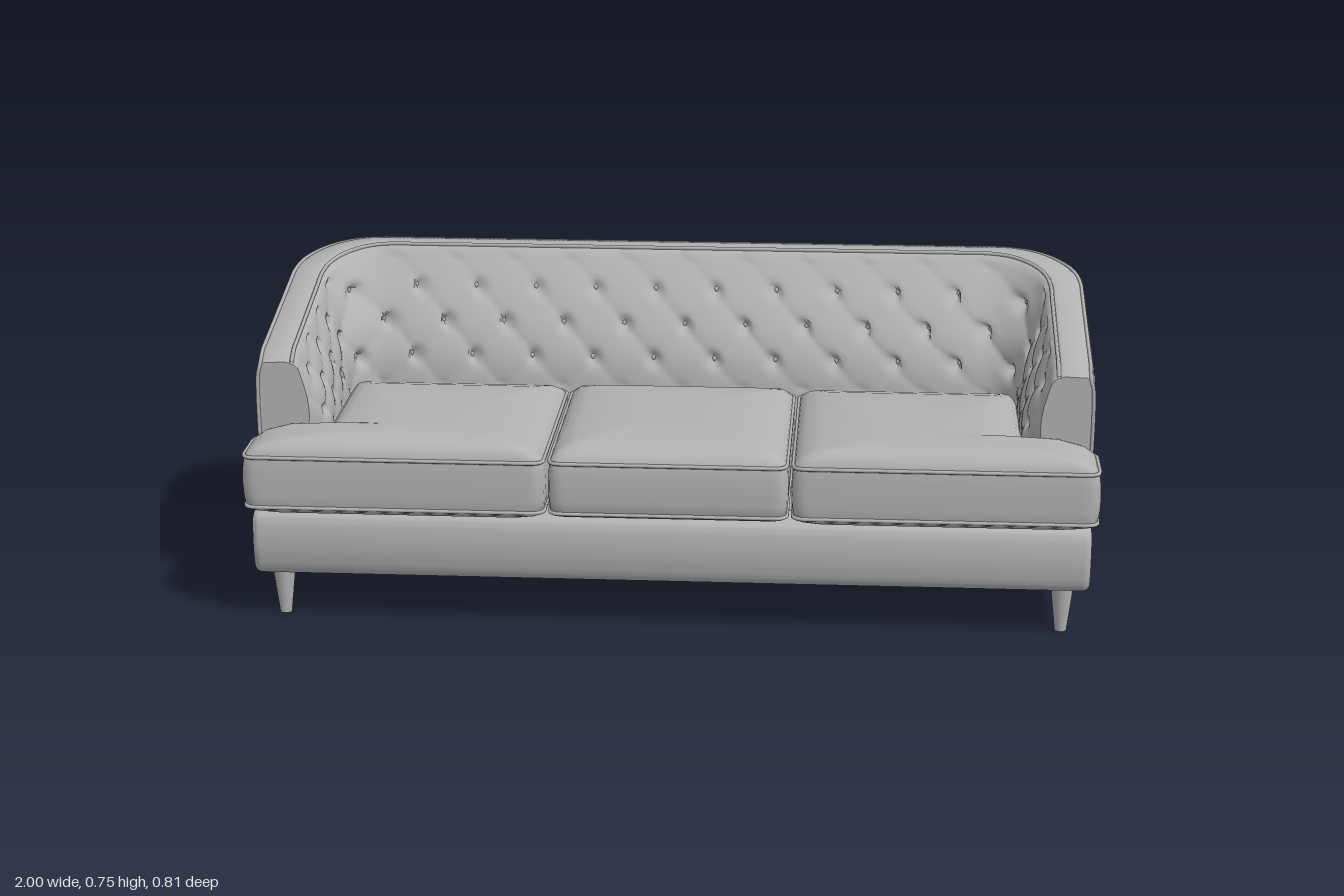
import * as THREE from 'three';
import { toCreasedNormals } from 'three/addons/utils/BufferGeometryUtils.js';

const FRONT = 0.238, BOTTOM = 0.115, UNITS = 18, STEPS = 14, TUFT_ROWS = 30;

// Surface through a grid of points, grid[i][j]; optionally closed along i or j
function gridGeometry(grid, closeI, closeJ, crease) {
  const n = grid.length, m = grid[0].length, index = [];
  for (let i = 0; i < (closeI ? n : n - 1); i++) {
    for (let j = 0; j < (closeJ ? m : m - 1); j++) {
      const i2 = (i + 1) % n, j2 = (j + 1) % m;
      const a = i * m + j, b = i2 * m + j, c = i2 * m + j2, d = i * m + j2;
      index.push(a, b, d, b, c, d);
    }
  }
  const geo = new THREE.BufferGeometry().setFromPoints(grid.flat());
  geo.setIndex(index);
  return toCreasedNormals(geo, crease);
}

// U-shaped plan path: arm (0-3), corner (3-4), back (4-14), corner, arm
function plan(p, hw, zb, r) {
  const side = p > UNITS / 2 ? -1 : 1;
  const q = Math.min(p, UNITS - p);
  if (q <= 3) return [side * hw, FRONT + (zb + r - FRONT) * q / 3];
  if (q <= 4) {
    const a = (q - 3) * Math.PI / 2;
    return [side * (hw - r + r * Math.cos(a)), zb + r - r * Math.sin(a)];
  }
  return [side * (hw - r) * (9 - q) / 5, zb];
}

// Height of the rim, sloping from the back down to the arm fronts
function rimHeight(p) {
  const z = plan(p, 0.985, -0.41, 0.2)[1];
  return Math.min(0.62 + (0.21 - z) * 0.205, 0.62 - (z - 0.21) * 0.8);
}

// Padded inner face; v runs from the rim (0) to the seat (1)
function padPoint(p, v) {
  const q = v * 4, a = p + q / 2, b = p - q / 2;
  const end = Math.min(p, UNITS - p);
  const fade = Math.pow(Math.sin(Math.PI * v), 0.5) * Math.min(1, end * 3);
  const dimple = Math.pow(Math.cos(Math.PI * a) * Math.cos(Math.PI * b), 10);
  const crease = 1 - Math.sqrt(Math.abs(Math.sin(Math.PI * a) * Math.sin(Math.PI * b)));
  const depth = fade * (0.024 * dimple + 0.008 * crease);
  const flare = 0.05 * Math.pow(Math.max(0, 1 - end / 0.6), 2) * v;
  const bulge = Math.sin(v * Math.PI / 2);
  const [x, z] = plan(p, 0.885 - 0.065 * bulge + depth + flare, -0.315 + 0.15 * bulge - depth, 0.15 - 0.08 * v);
  const top = rimHeight(p) - 0.014;
  return new THREE.Vector3(x, top + (0.42 - top) * v, z);
}

// One cross-section of the back and arms
function section(p) {
  const top = rimHeight(p);
  const at = (hw, zb, r, y) => {
    const [x, z] = plan(p, hw, zb, r);
    return new THREE.Vector3(x, y, z);
  };
  const pts = [
    at(0.972, -0.397, 0.19, BOTTOM), at(0.982, -0.407, 0.2, BOTTOM + 0.012),
    at(0.985, -0.41, 0.2, 0.3), at(0.985, -0.41, 0.2, top - 0.03),
    at(0.98, -0.405, 0.2, top - 0.01), at(0.965, -0.392, 0.19, top),
    at(0.915, -0.345, 0.17, top + 0.002), at(0.895, -0.325, 0.155, top - 0.004),
  ];
  for (let k = 0; k <= TUFT_ROWS; k++) pts.push(padPoint(p, k / TUFT_ROWS));
  pts.push(at(0.83, -0.17, 0.07, BOTTOM));
  return pts;
}

// Rounded polygon in plan, returned as evenly spaced points
function roundedOutline(corners, radius) {
  const shape = new THREE.Shape();
  const pts = corners.map(c => new THREE.Vector2(...c));
  pts.forEach((c, i) => {
    const prev = pts[(i + pts.length - 1) % pts.length], next = pts[(i + 1) % pts.length];
    const a = c.clone().add(prev.clone().sub(c).setLength(radius));
    const b = c.clone().add(next.clone().sub(c).setLength(radius));
    if (i) shape.lineTo(a.x, a.y); else shape.moveTo(a.x, a.y);
    shape.quadraticCurveTo(c.x, c.y, b.x, b.y);
  });
  shape.closePath();
  const out = shape.getSpacedPoints(140).slice(0, -1);
  return THREE.ShapeUtils.isClockWise(out) ? out.reverse() : out;
}

export function createModel() {
  const sofa = new THREE.Group();
  sofa.name = 'sofa';
  const grey = new THREE.MeshStandardMaterial({ color: 0xb2b2b2 });
  grey.name = 'grey upholstery';
  const add = (geo, name, parent = sofa) => {
    const mesh = new THREE.Mesh(geo, grey);
    mesh.name = name;
    parent.add(mesh);
    return mesh;
  };
  const piping = (points, closed, name, parent) => add(new THREE.TubeGeometry(
    new THREE.CatmullRomCurve3(points, closed), points.length * 2, 0.005, 6, closed), name, parent);

  // Back and arms in one sweep, with flat arm fronts
  const stations = [];
  for (let i = 0; i <= UNITS * STEPS; i++) stations.push(section(i / STEPS));
  add(gridGeometry(stations, false, true, 0.9), 'backAndArms');
  for (const s of [stations[0], stations[stations.length - 1]]) {
    const cap = new THREE.ShapeGeometry(new THREE.Shape(s.map(v => new THREE.Vector2(v.x, v.y))));
    add(cap.translate(0, 0, FRONT), 'armFront');
  }

  // Piping along both edges of the rim, the outer one running down the arm fronts
  for (const [hw, zb, r, drop] of [[0.975, -0.4, 0.195, 0.004], [0.9, -0.33, 0.16, 0]]) {
    const pts = [];
    for (let p = 0; p <= UNITS; p += 0.25) {
      const [x, z] = plan(p, hw, zb, r);
      pts.push(new THREE.Vector3(x, rimHeight(p) - drop, z));
    }
    if (drop) {
      pts.unshift(new THREE.Vector3(hw + 0.006, 0.28, FRONT), new THREE.Vector3(hw + 0.006, 0.57, FRONT));
      pts.push(new THREE.Vector3(-hw - 0.006, 0.57, FRONT), new THREE.Vector3(-hw - 0.006, 0.28, FRONT));
    }
    piping(pts, false, 'rimPiping');
  }

  // Buttons in the tufts
  const buttonGeo = new THREE.SphereGeometry(0.008, 10, 8);
  for (const q of [1, 2, 3]) {
    for (let p = q % 2 ? 0.5 : 1; p < UNITS; p++) {
      add(buttonGeo, 'button').position.copy(padPoint(p, q / 4));
    }
  }

  // Rounded front rail and the deck under the cushions
  const rail = new THREE.Shape();
  rail.moveTo(-0.225, BOTTOM);
  rail.lineTo(-0.355, BOTTOM);
  rail.quadraticCurveTo(-0.372, 0.118, -0.379, 0.16);
  rail.quadraticCurveTo(-0.387, 0.205, -0.377, 0.25);
  rail.quadraticCurveTo(-0.37, 0.273, -0.335, 0.275);
  rail.lineTo(-0.225, 0.275);
  const railGeo = new THREE.ExtrudeGeometry(rail, {
    depth: 1.93, bevelSize: 0.018, bevelThickness: 0.018, bevelOffset: -0.018, bevelSegments: 4, curveSegments: 8,
  });
  railGeo.translate(0, 0, -0.965).rotateY(Math.PI / 2);
  add(toCreasedNormals(railGeo, 0.7), 'frontRail');
  add(new THREE.BoxGeometry(1.68, 0.16, 0.52), 'seatDeck').position.set(0, 0.196, 0.03);

  // Seat cushions: the outer two wrap round in front of the arms
  const profile = [[0, 0.461], [0.5, 0.459], [0.8, 0.451], [0.93, 0.437], [0.985, 0.422], [1, 0.412],
    [1.01, 0.385], [1.014, 0.35], [1.01, 0.32], [1, 0.294], [0.97, 0.283], [0.85, 0.274], [0, 0.272]];
  const sideCorners = s => [[0.29, -0.18], [0.825, -0.18], [0.825, 0.24], [0.993, 0.24], [0.993, 0.4], [0.29, 0.4]]
    .map(([x, z]) => [s * x, z]);
  const cushions = [
    ['middleCushion', [[-0.276, -0.18], [0.276, -0.18], [0.276, 0.4], [-0.276, 0.4]], 0, 0.15],
    ['leftCushion', sideCorners(1), 0.6, 0.27],
    ['rightCushion', sideCorners(-1), -0.6, 0.27],
  ];
  for (const [name, corners, cx, cz] of cushions) {
    const group = new THREE.Group();
    group.name = name;
    sofa.add(group);
    const outline = roundedOutline(corners, 0.03);
    const grid = outline.map(o => profile.map(([s, y]) =>
      new THREE.Vector3(cx + (o.x - cx) * s, y, cz + (o.y - cz) * s)));
    add(gridGeometry(grid, true, false, 0.9), 'cushionPad', group);
    for (const y of [0.414, 0.292]) {
      piping(outline.map(o => new THREE.Vector3(o.x, y, o.y)), true, 'cushionPiping', group);
    }
  }

  // Tapered legs
  const legGeo = new THREE.CylinderGeometry(0.028, 0.014, 0.12, 20);
  for (const s of [1, -1]) {
    add(legGeo, 'frontLeg').position.set(s * 0.922, 0.06, 0.312);
    add(legGeo, 'backLeg').position.set(s * 0.855, 0.06, -0.307);
  }
  return sofa;
}
